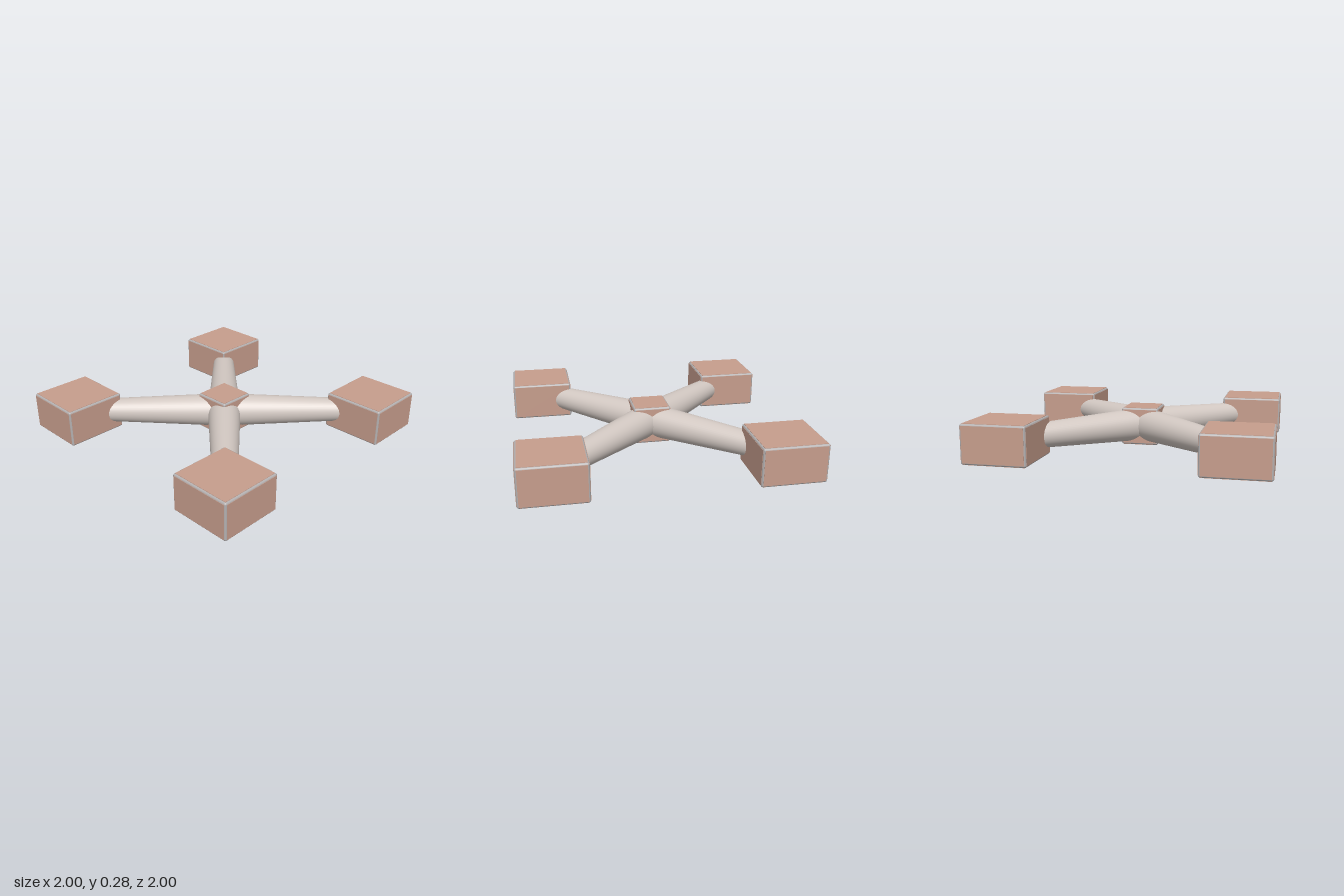
import * as THREE from 'three';
import { RoundedBoxGeometry } from 'three/addons/geometries/RoundedBoxGeometry.js';

const HEIGHT = 0.275;   // shared height of all blocks
const BORDER = 0.014;   // visible frame around each panel
const PROUD = 0.002;    // how far panels stand off the frame

const panelClay = new THREE.MeshStandardMaterial({ name: 'panelClay', color: 0xc69d8c });
const armStone = new THREE.MeshStandardMaterial({ name: 'armStone', color: 0xd2c8c2 });
const frameGrey = new THREE.MeshStandardMaterial({ name: 'frameGrey', color: 0xb4b0b0 });

function addMesh(parent, name, geometry, material) {
  const mesh = new THREE.Mesh(geometry, material);
  mesh.name = name;
  parent.add(mesh);
  return mesh;
}

// Block with a soft-edged frame and a thin panel on each of its six faces
function makeBlock(name, width) {
  const block = new THREE.Group();
  block.name = name;
  const size = [width, HEIGHT, width];
  const core = size.map((s) => s - 2 * PROUD);
  addMesh(block, 'frame', new RoundedBoxGeometry(...core, 2, BORDER), frameGrey);
  for (let axis = 0; axis < 3; axis++) {
    for (const side of [-1, 1]) {
      const dims = size.map((s, i) => (i === axis ? 2 * PROUD : s - 2 * BORDER));
      const panel = addMesh(block, 'panel', new THREE.BoxGeometry(...dims), panelClay);
      panel.position.setComponent(axis, side * (size[axis] / 2 - PROUD));
    }
  }
  return block;
}

export function createModel() {
  const model = new THREE.Group();
  model.name = 'crossFrame';
  const midY = HEIGHT / 2;

  // Central hub
  const hub = makeBlock('hub', 0.275);
  hub.position.y = midY;
  model.add(hub);

  // Four corner blocks, each joined to the hub by a tapered arm
  const blockWidth = 0.455;
  const offset = 1 - blockWidth / 2;
  const armLength = offset * Math.SQRT2;
  const armGeometry = new THREE.CylinderGeometry(0.077, 0.123, armLength, 48);
  const up = new THREE.Vector3(0, 1, 0);
  for (const sx of [-1, 1]) {
    for (const sz of [-1, 1]) {
      const label = (sz > 0 ? 'front' : 'back') + (sx > 0 ? 'Left' : 'Right');
      const block = makeBlock(label + 'Block', blockWidth);
      block.position.set(sx * offset, midY, sz * offset);
      model.add(block);

      const arm = addMesh(model, label + 'Arm', armGeometry, armStone);
      const direction = new THREE.Vector3(sx, 0, sz).normalize();
      arm.quaternion.setFromUnitVectors(up, direction);
      arm.position.copy(direction).multiplyScalar(armLength / 2).setY(midY);
    }
  }
  return model;
}
